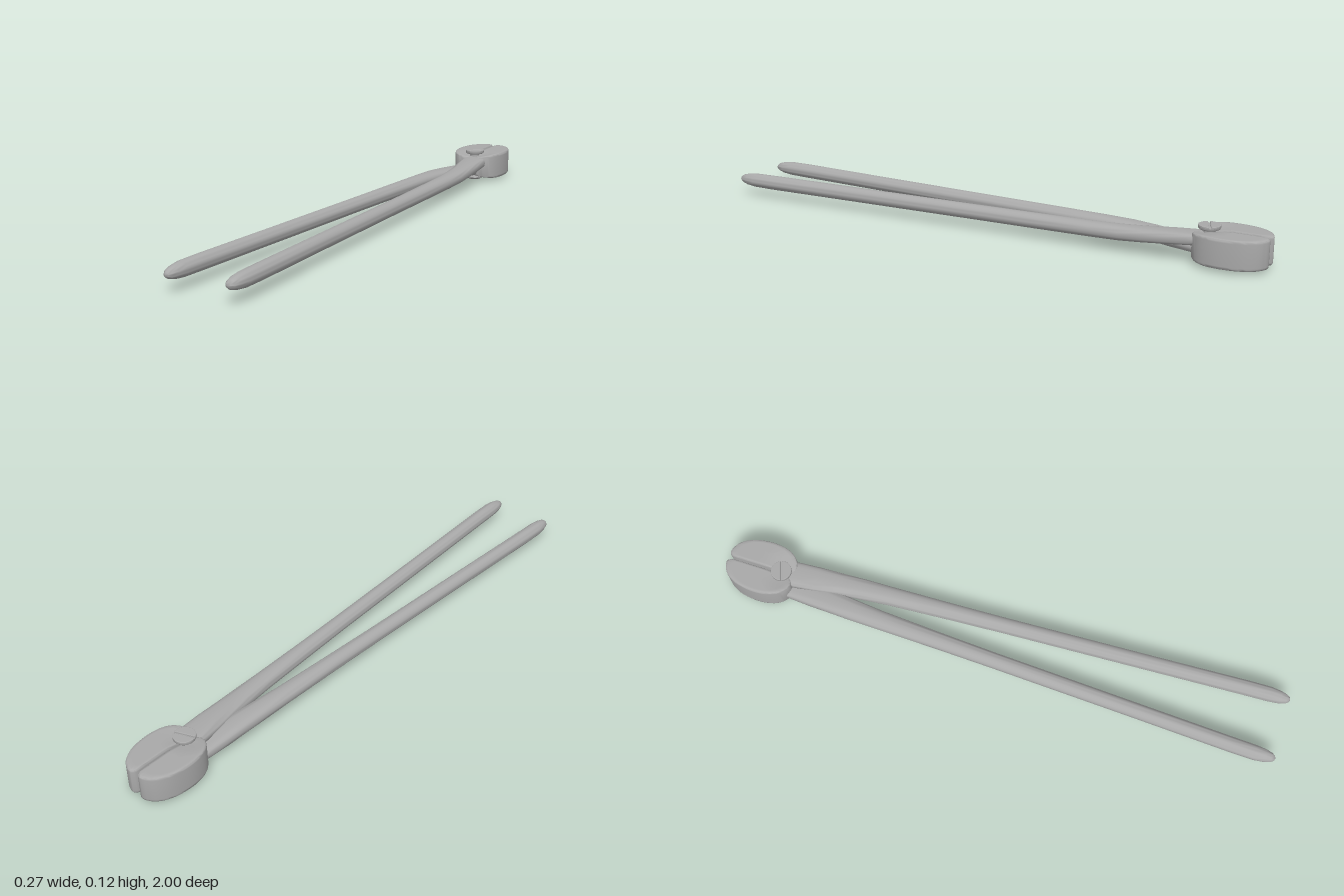
import * as THREE from 'three';
import { toCreasedNormals } from 'three/addons/utils/BufferGeometryUtils.js';

const MID_Y = 0.06;     // height of the axis about which the two halves are twins
const PIVOT_Z = -0.8;

// Skin a stack of closed rings of equal length; both ends are capped at the ring centre.
function loft(rings, crease) {
  const n = rings[0].length;
  const points = rings.flat();
  const index = [];
  for (let i = 0; i < rings.length - 1; i++) {
    for (let j = 0; j < n; j++) {
      const a = i * n + j, b = i * n + (j + 1) % n, c = a + n, d = b + n;
      index.push(a, b, c, b, d, c);
    }
  }
  [0, rings.length - 1].forEach((r, end) => {
    const centre = new THREE.Vector3();
    rings[r].forEach((p) => centre.addScaledVector(p, 1 / n));
    points.push(centre);
    for (let j = 0; j < n; j++) {
      const a = r * n + j, b = r * n + (j + 1) % n;
      if (end) index.push(points.length - 1, a, b);
      else index.push(points.length - 1, b, a);
    }
  });
  const geometry = new THREE.BufferGeometry().setFromPoints(points);
  geometry.setIndex(index);
  return toCreasedNormals(geometry, crease);
}

// Handle: rounded sections running from the joint to the tip.
function handleGeometry() {
  // z, inner x, outer x, bottom y, top y, squareness (1 = ellipse)
  const sections = [
    [-0.785, -0.03, 0.058, 0.058, 0.096, 0.55],
    [-0.75, -0.029, 0.062, 0.056, 0.096, 0.55],
    [-0.68, -0.019, 0.068, 0.05, 0.094, 0.6],
    [-0.6, -0.006, 0.073, 0.043, 0.09, 0.7],
    [-0.52, 0.004, 0.078, 0.038, 0.088, 0.8],
    [-0.42, 0.014, 0.081, 0.036, 0.087, 0.9],
    [-0.2, 0.028, 0.087, 0.035, 0.087, 0.95],
    [0, 0.039, 0.094, 0.035, 0.087, 1],
    [0.5, 0.062, 0.115, 0.035, 0.087, 1],
    [0.85, 0.078, 0.131, 0.035, 0.087, 1],
    [0.93, 0.081, 0.133, 0.036, 0.086, 1],
    [0.965, 0.085, 0.129, 0.04, 0.082, 1],
    [0.987, 0.091, 0.123, 0.046, 0.076, 1],
    [0.997, 0.098, 0.116, 0.053, 0.07, 1],
    [1, 0.105, 0.109, 0.059, 0.063, 1],
  ];
  const bend = (c, e) => Math.sign(c) * Math.abs(c) ** e;
  const rings = sections.map(([z, x0, x1, y0, y1, e]) =>
    Array.from({ length: 24 }, (_, j) => {
      const a = (j / 24) * Math.PI * 2;
      return new THREE.Vector3(
        (x0 + x1) / 2 + bend(Math.cos(a), e) * (x1 - x0) / 2,
        (y0 + y1) / 2 + bend(Math.sin(a), e) * (y1 - y0) / 2, z);
    }));
  return loft(rings, 1.2);
}

// Jaw: a rounded half oval slab whose faces dip towards the pivot.
function jawGeometry() {
  const curve = new THREE.CatmullRomCurve3([
    [0.005, -0.768], [0.028, -0.757], [0.055, -0.764], [0.08, -0.79],
    [0.094, -0.83], [0.097, -0.88], [0.086, -0.94], [0.062, -0.98],
    [0.033, -0.998], [0.015, -0.999], [0.006, -0.988],
  ].map(([x, z]) => new THREE.Vector3(x, 0, z)));
  const outline = curve.getPoints(40);
  for (let i = 0; i < 12; i++) outline.push(new THREE.Vector3(0.005, 0, -0.97 + i * 0.0175));
  const centre = new THREE.Vector3(0.045, 0, -0.875);
  // inset scale and half height, from the middle of the face to the rim
  const profile = [
    [0.1, 0.048], [0.35, 0.048], [0.6, 0.048], [0.8, 0.048],
    [0.94, 0.048], [0.975, 0.0465], [0.994, 0.043], [1, 0.038],
  ];
  const ring = (scale, h) => outline.map((p) => {
    const v = p.clone().sub(centre).multiplyScalar(scale).add(centre);
    const near = Math.max(0, 1 - Math.hypot(v.x, v.z - PIVOT_Z - 0.02) / 0.1);
    const dip = 0.013 * near * near * (3 - 2 * near);
    v.y = MID_Y + Math.sign(h) * (Math.abs(h) - dip);
    return v;
  });
  const rings = [
    ...profile.map(([s, h]) => ring(s, -h)),
    ...profile.slice().reverse().map(([s, h]) => ring(s, h)),
  ];
  return loft(rings, 0.9);
}

// Turned part from [radius, height] pairs.
function turned(pairs) {
  const geometry = new THREE.LatheGeometry(pairs.map(([r, y]) => new THREE.Vector2(r, y)), 40);
  return toCreasedNormals(geometry, 0.8);
}

export function createModel() {
  const model = new THREE.Group();
  model.name = 'pliers';
  const steel = new THREE.MeshStandardMaterial({ color: 0xa9a9a9 });
  steel.name = 'steel grey';

  const add = (parent, name, geometry) => {
    const mesh = new THREE.Mesh(geometry, steel);
    mesh.name = name;
    parent.add(mesh);
    return mesh;
  };

  // Two identical halves, the second turned over about the long axis
  const handle = handleGeometry();
  const jaw = jawGeometry();
  ['left', 'right'].forEach((side, i) => {
    const half = new THREE.Group();
    half.name = side + 'Half';
    add(half, side + 'Handle', handle);
    add(half, side + 'Jaw', jaw);
    if (i) {
      half.rotation.z = Math.PI;
      half.position.y = MID_Y * 2;
    }
    model.add(half);
  });

  // Pivot screw with a slotted head and a domed rivet end
  const screw = new THREE.Group();
  screw.name = 'pivotScrew';
  screw.position.z = PIVOT_Z;
  screw.rotation.y = 0.38;
  model.add(screw);
  add(screw, 'screwShaft', new THREE.CylinderGeometry(0.018, 0.018, 0.1, 24)).position.y = MID_Y;
  add(screw, 'screwHead', turned([
    [0, 0.106], [0.031, 0.106], [0.034, 0.108], [0.036, 0.111], [0.036, 0.115], [0, 0.115],
  ]));
  add(screw, 'rivetEnd', turned([
    [0, 0], [0.012, 0.001], [0.023, 0.004], [0.031, 0.008], [0.035, 0.012], [0.034, 0.016], [0.029, 0.018], [0, 0.018],
  ]));

  // Raised head segments on each side of the slot
  const start = Math.asin(0.005 / 0.034);
  const segment = new THREE.Shape();
  segment.absarc(0, 0, 0.034, start, Math.PI - start, false);
  segment.closePath();
  const segmentGeometry = new THREE.ExtrudeGeometry(segment, {
    depth: 0.004, bevelThickness: 0.002, bevelSize: 0.002, bevelSegments: 2, curveSegments: 20,
  });
  segmentGeometry.rotateX(-Math.PI / 2);
  for (const turn of [0, Math.PI]) {
    const part = add(screw, 'screwHeadSegment', segmentGeometry);
    part.position.y = 0.115;
    part.rotation.y = turn;
  }
  return model;
}
